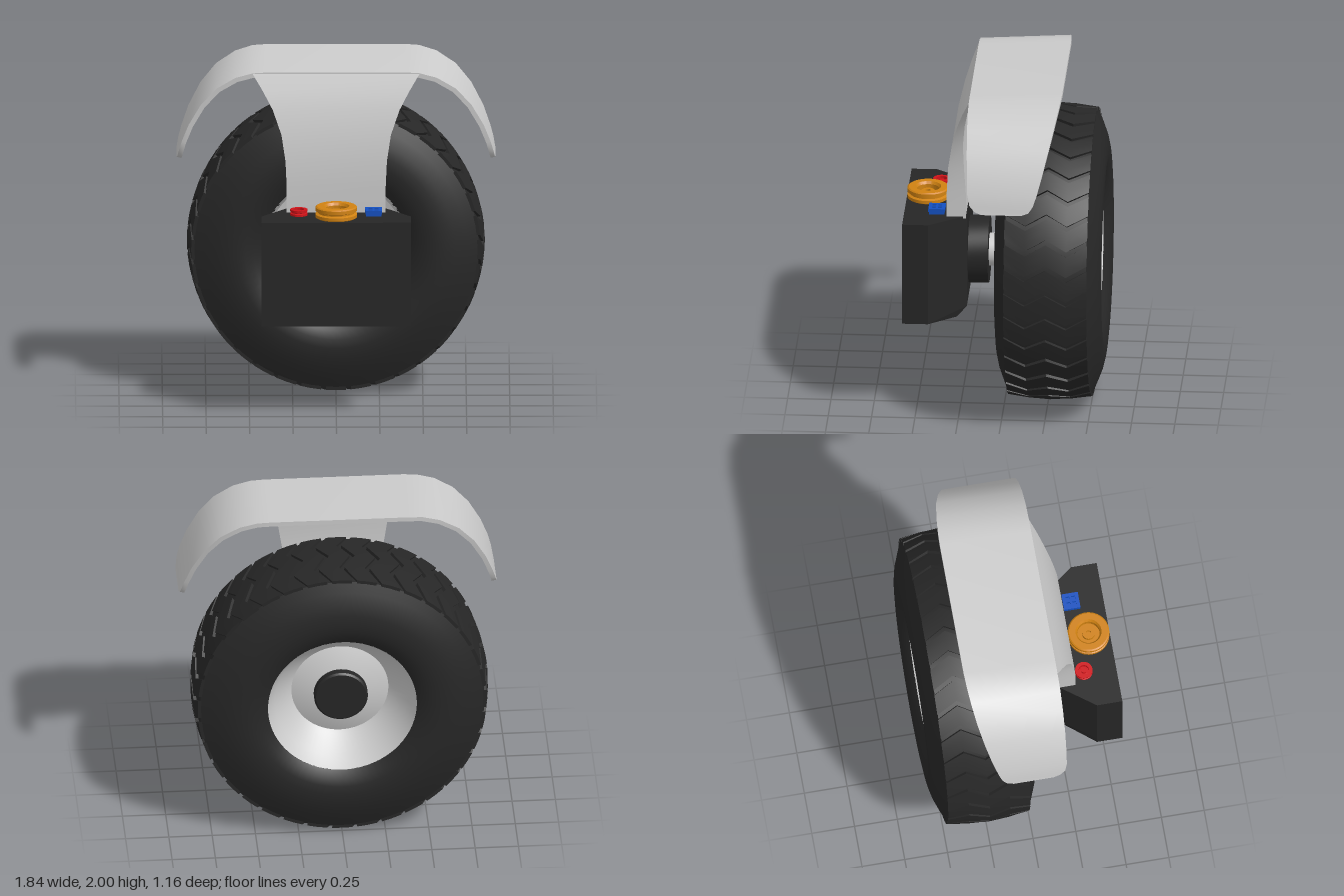
import * as THREE from 'three';
import { mergeGeometries, toCreasedNormals } from 'three/addons/utils/BufferGeometryUtils.js';

const material = (color) => new THREE.MeshStandardMaterial({ color });
const grey = material(0xcccccc);
const rubber = material(0x272727);
const black = material(0x262626);
const orange = material(0xd08212);
const red = material(0xd01218);
const blue = material(0x1450c0);

function part(parent, name, geometry, mat, x = 0, y = 0, z = 0) {
  const mesh = new THREE.Mesh(geometry, mat);
  mesh.name = name;
  mesh.position.set(x, y, z);
  parent.add(mesh);
  return mesh;
}

// Closed solid through rings of equal point count, turned outward by its signed volume
function loft(rings, crease = 0.6) {
  const tris = [];
  const n = rings[0].length;
  for (let r = 0; r < rings.length - 1; r++) {
    for (let i = 0; i < n; i++) {
      const j = (i + 1) % n, a = rings[r], b = rings[r + 1];
      tris.push([a[i], a[j], b[j]], [a[i], b[j], b[i]]);
    }
  }
  const first = rings[0], last = rings[rings.length - 1];
  for (let i = 1; i < n - 1; i++) {
    tris.push([first[0], first[i + 1], first[i]], [last[0], last[i], last[i + 1]]);
  }
  const o = new THREE.Vector3(...first[0]);
  let volume = 0;
  for (const t of tris) {
    const [a, b, c] = t.map((p) => new THREE.Vector3(...p).sub(o));
    volume += a.dot(b.cross(c));
  }
  if (volume < 0) tris.forEach((t) => t.reverse());
  const g = new THREE.BufferGeometry();
  g.setAttribute('position', new THREE.Float32BufferAttribute(tris.flat(2), 3));
  return toCreasedNormals(g, crease);
}

// Lathe from [radius, height] points
function turned(points, segments, crease) {
  const g = new THREE.LatheGeometry(points.map((p) => new THREE.Vector2(...p)), segments);
  return crease ? toCreasedNormals(g, crease) : g;
}

// Lathe whose axis runs along z
const turnedZ = (points, segments, crease) => turned(points, segments, crease).rotateX(Math.PI / 2);

function createWheel() {
  const wheel = new THREE.Group();
  wheel.name = 'wheel';
  wheel.position.y = 0.858;

  part(wheel, 'tire', turnedZ([
    [0.42, -0.5], [0.43, -0.53], [0.47, -0.557], [0.52, -0.573], [0.57, -0.58], [0.63, -0.574],
    [0.69, -0.56], [0.76, -0.533], [0.822, -0.507], [0.832, -0.39], [0.838, -0.27], [0.832, -0.15],
    [0.822, -0.033], [0.76, -0.007], [0.69, 0.02], [0.63, 0.034], [0.57, 0.04], [0.52, 0.033],
    [0.47, 0.017], [0.43, -0.01], [0.42, -0.04],
  ], 72, 0.6), rubber);

  // Zigzag tread lugs: [z, radius, angle shift]
  const stations = [
    [-0.51, 0.834, 0], [-0.39, 0.85, -0.08], [-0.27, 0.858, 0], [-0.15, 0.85, -0.08], [-0.03, 0.834, 0],
  ];
  const count = 36, step = (Math.PI * 2) / count;
  const lugs = [];
  for (let k = 0; k < count; k++) {
    lugs.push(loft(stations.map(([z, r, shift]) => {
      const at = (radius, f) => {
        const a = (k + f) * step + shift - Math.PI / 2;
        return [radius * Math.cos(a), radius * Math.sin(a), z];
      };
      return [at(r, -0.4), at(r, 0), at(r, 0.4), at(r - 0.04, 0.4), at(r - 0.04, 0), at(r - 0.04, -0.4)];
    }), 0.3));
  }
  part(wheel, 'treadLugs', mergeGeometries(lugs), rubber);

  // Dished rim, back face then front face
  part(wheel, 'rim', turnedZ([
    [0, -0.38], [0.15, -0.38], [0.28, -0.33], [0.3, -0.35], [0.385, -0.45], [0.43, -0.53],
    [0.44, -0.27], [0.43, -0.01], [0.4, -0.1], [0.28, -0.14], [0.09, -0.14], [0, -0.14],
  ], 64, 0.4), grey);
  part(wheel, 'hubCap', turnedZ([[0, -0.43], [0.145, -0.43], [0.155, -0.42], [0.155, -0.35]], 48, 0.5), black);
  part(wheel, 'axle', turnedZ([[0, -0.2], [0.095, -0.2], [0.095, 0.11], [0, 0.11]], 40, 0.5), grey);
  part(wheel, 'motorFlange', turnedZ([[0, 0.1], [0.195, 0.1], [0.195, 0.23], [0, 0.23]], 48, 0.5), black);
  return wheel;
}

function createFender() {
  // Half path from the crown to the tip: x, y, front drop, front z, back z
  const half = [
    [0.4, 2.0, 0.035, 0.19, -0.345], [0.48, 1.995, 0.035, 0.19, -0.342],
    [0.58, 1.965, 0.032, 0.19, -0.333], [0.69, 1.895, 0.027, 0.187, -0.315],
    [0.78, 1.79, 0.02, 0.183, -0.288], [0.85, 1.66, 0.01, 0.178, -0.255],
    [0.89, 1.55, 0, 0.173, -0.225], [0.907, 1.49, 0, 0.16, -0.205],
    [0.914, 1.455, 0, 0.13, -0.18], [0.918, 1.44, 0, 0.09, -0.14],
  ];
  const path = [...half.map(([x, ...rest]) => [-x, ...rest]).reverse(), ...half];
  const thickness = 0.027;
  const rings = path.map(([x, y, drop, zf, zb], i) => {
    const a = path[Math.max(i - 1, 0)], b = path[Math.min(i + 1, path.length - 1)];
    const dx = b[0] - a[0], dy = b[1] - a[1], l = Math.hypot(dx, dy);
    const nx = (dy / l) * thickness, ny = (-dx / l) * thickness;
    return [[x, y - drop, zf], [x, y, zb], [x + nx, y + ny, zb], [x + nx, y - drop + ny, zf]];
  });
  return loft(rings);
}

export function createModel() {
  const model = new THREE.Group();
  model.name = 'wheelModule';
  model.add(createWheel());
  part(model, 'fender', createFender(), grey);

  // Flared neck carrying the fender: half width, y, front z, back z
  const neck = [
    [0.285, 1.16, 0.33, 0.22], [0.285, 1.32, 0.33, 0.22], [0.292, 1.47, 0.322, 0.23],
    [0.315, 1.62, 0.299, 0.235], [0.365, 1.76, 0.264, 0.222], [0.42, 1.86, 0.23, 0.203],
    [0.48, 1.955, 0.19, 0.172],
  ];
  part(model, 'fenderNeck', loft(neck.map(([w, y, zf, zb]) =>
    [[-w, y, zf], [w, y, zf], [w, y, zb], [-w, y, zb]])), grey);

  // Housing with chamfered back corners and lower back edge
  const housing = [[0.555, 0.3, 0.27], [0.61, 0.27, 0.215], [1.17, 0.27, 0.215]];
  part(model, 'housing', loft(housing.map(([y, w, zb]) => [
    [-0.43, y, 0.578], [0.43, y, 0.578], [0.43, y, 0.43], [w, y, zb], [-w, y, zb], [-0.43, y, 0.43],
  ]), 0.1), black);

  // Large round connector with a groove, a recess and a centre pin
  part(model, 'roundConnector', turned([
    [0.11, 0], [0.12, 0.006], [0.12, 0.024], [0.105, 0.03], [0.105, 0.038], [0.12, 0.044],
    [0.12, 0.064], [0.112, 0.07], [0.075, 0.07], [0.065, 0.055], [0.065, 0.025], [0.036, 0.025],
    [0.036, 0.045], [0.015, 0.045], [0.015, 0.03], [0, 0.03],
  ], 48, 0.5), orange, 0, 1.17, 0.455);

  // Small round connector
  part(model, 'smallConnector', turned([
    [0.05, 0], [0.05, 0.012], [0.042, 0.015], [0.042, 0.019], [0.05, 0.022], [0.05, 0.034],
    [0.03, 0.034], [0.03, 0.012], [0.014, 0.012], [0.014, 0.026], [0, 0.026],
  ], 32, 0.5), red, -0.215, 1.17, 0.39);

  // Square connector: base plate under a frame with four sockets
  const frame = new THREE.Shape([[-1, -1], [1, -1], [1, 1], [-1, 1]].map(([x, y]) => new THREE.Vector2(x * 0.048, y * 0.048)));
  for (const sx of [-1, 1]) {
    for (const sy of [-1, 1]) {
      const hole = [[-1, -1], [-1, 1], [1, 1], [1, -1]];
      frame.holes.push(new THREE.Path(hole.map(([x, y]) => new THREE.Vector2(sx * 0.017 + x * 0.011, sy * 0.017 + y * 0.011))));
    }
  }
  const square = new THREE.Group();
  square.name = 'squareConnector';
  square.position.set(0.215, 1.17, 0.39);
  part(square, 'socketBase', new THREE.BoxGeometry(0.09, 0.016, 0.09), blue, 0, 0.008, 0);
  part(square, 'socketFrame', new THREE.ExtrudeGeometry(frame, { depth: 0.02, bevelEnabled: false })
    .rotateX(-Math.PI / 2), blue, 0, 0.014, 0);
  model.add(square);
  return model;
}
